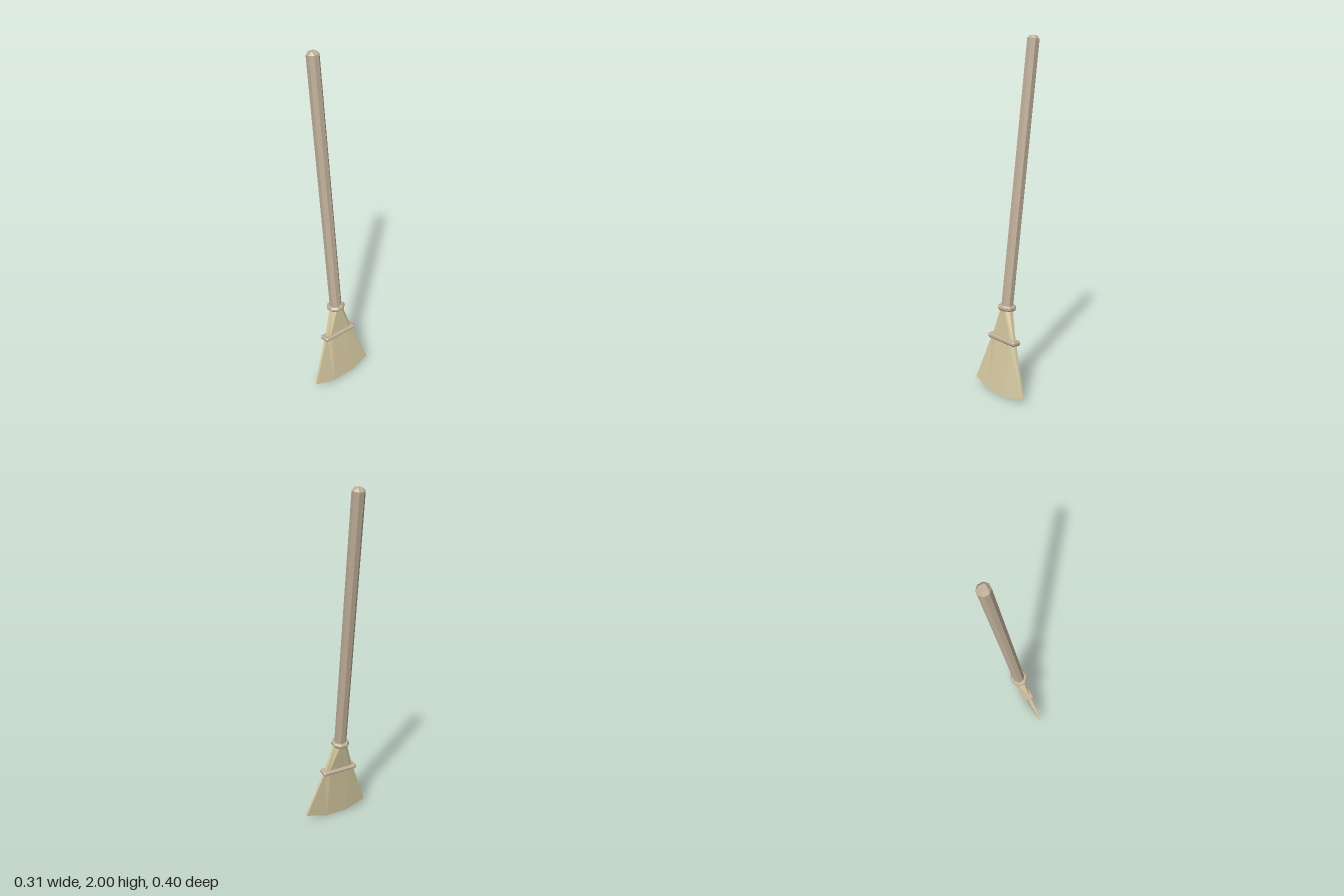
import * as THREE from 'three';

const wood = new THREE.MeshStandardMaterial({ color: 0xbfae98, flatShading: true });
wood.name = 'wood';
const straw = new THREE.MeshStandardMaterial({ color: 0xd8cca4, flatShading: true });
straw.name = 'straw';

// Eight-sided section: half sizes hx, hz, half lengths ix, iz of the flat sides.
// lift raises the two z ends.
function section(y, hx, hz, ix = hx * 0.414, iz = hz * 0.414, lift = 0) {
  return [
    [hx, y, -iz], [hx, y, iz], [ix, y + lift, hz], [-ix, y + lift, hz],
    [-hx, y, iz], [-hx, y, -iz], [-ix, y + lift, -hz], [ix, y + lift, -hz],
  ];
}

// Joins sections from bottom to top and closes both ends.
function loft(name, material, sections) {
  const pos = [];
  const quad = (a, b, c, d) => pos.push(...a, ...b, ...c, ...a, ...c, ...d);
  for (let s = 0; s < sections.length - 1; s++) {
    const lo = sections[s], hi = sections[s + 1];
    for (let i = 0; i < 8; i++) {
      const j = (i + 1) % 8;
      quad(lo[i], hi[i], hi[j], lo[j]);
    }
  }
  const b = sections[0], t = sections[sections.length - 1];
  for (const [i, j, k, l] of [[0, 1, 4, 5], [1, 2, 3, 4], [5, 6, 7, 0]]) {
    quad(b[i], b[j], b[k], b[l]);
    quad(t[l], t[k], t[j], t[i]);
  }
  const geometry = new THREE.BufferGeometry();
  geometry.setAttribute('position', new THREE.Float32BufferAttribute(pos, 3));
  geometry.computeVertexNormals();
  const mesh = new THREE.Mesh(geometry, material);
  mesh.name = name;
  return mesh;
}

// Binding with bevelled upper and lower rims
function binding(name, y, hx, hz, ix, iz) {
  const bevel = 0.009;
  const rows = [[-0.014, bevel], [-0.006, 0], [0.006, 0], [0.014, bevel]];
  return loft(name, wood, rows.map(([dy, d]) => section(y + dy, hx - d, hz - d, ix, iz)));
}

export function createModel() {
  const broom = new THREE.Group();
  broom.name = 'broom';

  // Handle with a chamfered end
  broom.add(loft('handle', wood, [
    section(0.5, 0.033, 0.033),
    section(1.998, 0.033, 0.033),
    section(2.015, 0.017, 0.017, 0.015, 0.015),
  ]));

  // Straw neck, flattening from round to wide
  broom.add(loft('neck', straw, [
    section(0.325, 0.015, 0.092, 0.008, 0.07),
    section(0.51, 0.031, 0.034, 0.013, 0.014),
  ]));

  // Fanned straw head
  broom.add(loft('bristles', straw, [
    section(0.002, 0.014, 0.2, 0.006, 0.07, 0.037),
    section(0.325, 0.017, 0.094, 0.009, 0.06),
  ]));

  broom.add(binding('upperBinding', 0.511, 0.05, 0.05, 0.02, 0.02));
  broom.add(binding('lowerBinding', 0.326, 0.032, 0.111, 0.022, 0.101));

  // Lean of the whole broom
  broom.rotation.z = 0.131;
  broom.position.x = 0.138;
  const model = new THREE.Group();
  model.name = 'leaningBroom';
  model.add(broom);
  return model;
}
